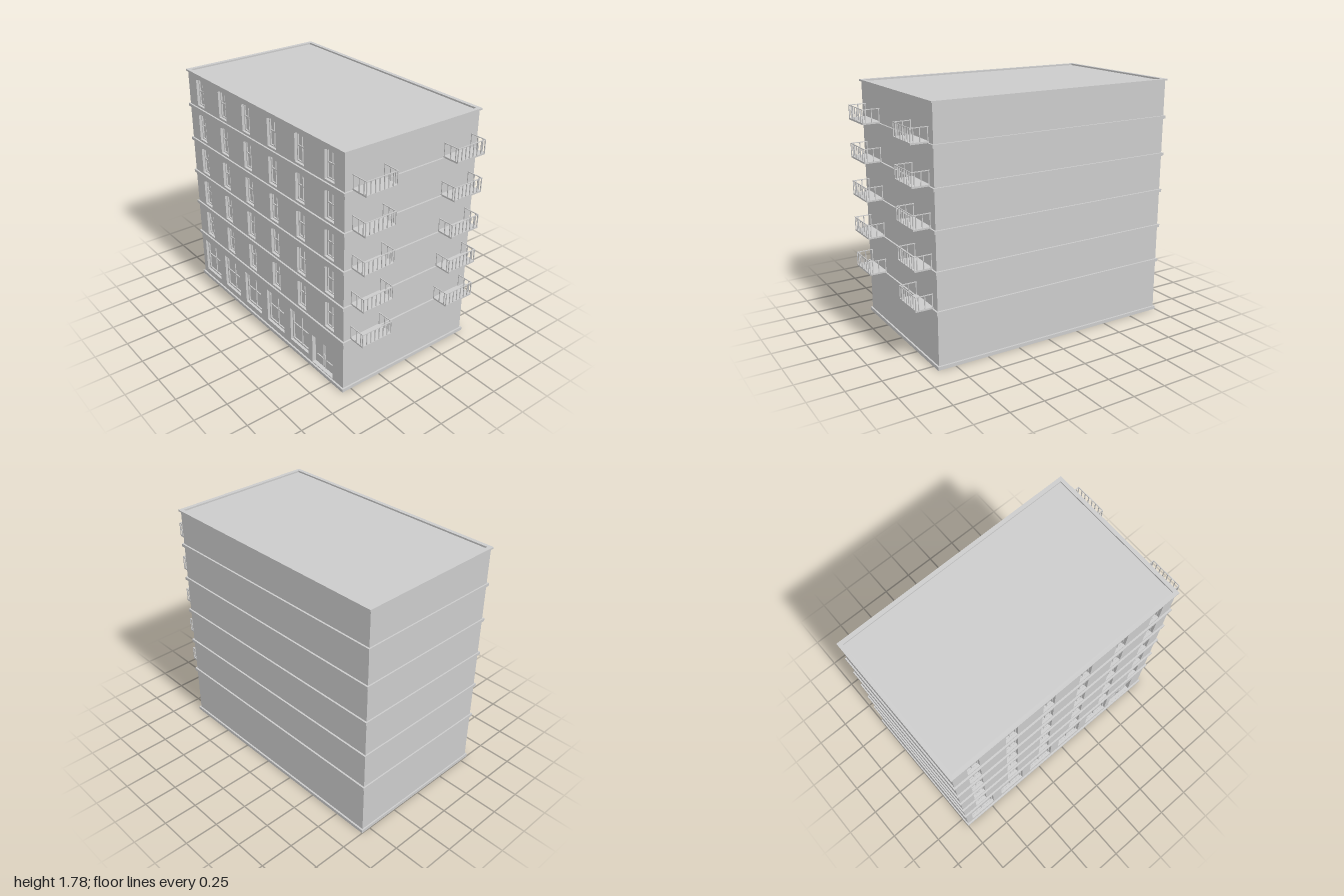
import * as THREE from 'three';

const X0 = -0.99, X1 = 0.87, ZW = 0.56, H = 1.785;   // wall planes and height
const CX = (X0 + X1) / 2, W = X1 - X0;
const FLOORS = [0.395, 0.67, 0.945, 1.222, 1.497];   // underside of each floor band
const BAND = 0.022, DEPTH = 0.03;

const mat = new THREE.MeshStandardMaterial({ color: 0xcccccc, side: THREE.DoubleSide, flatShading: true });

function add(parent, name, geo, x = 0, y = 0, z = 0) {
  const m = new THREE.Mesh(geo, mat);
  m.name = name;
  m.position.set(x, y, z);
  parent.add(m);
  return m;
}
const box = (parent, name, w, h, d, x, y, z) => add(parent, name, new THREE.BoxGeometry(w, h, d), x, y, z);

// Opening outline centred on x, standing on y0, with an optional arched head
function outline(Type, cx, y0, w, h, rise, inset = 0) {
  const l = cx - w / 2 + inset, r = cx + w / 2 - inset, b = y0 + inset, t = y0 + h - inset;
  const p = new Type();
  p.moveTo(l, b);
  p.lineTo(r, b);
  p.lineTo(r, t - rise);
  if (rise) p.quadraticCurveTo(cx, t + rise, l, t - rise);
  else p.lineTo(l, t);
  p.closePath();
  return p;
}

// Ring extruded between two insets of an opening
function ring(o, outer, inner, depth) {
  const s = outline(THREE.Shape, o.x, o.y, o.w, o.h, o.rise, outer);
  s.holes.push(outline(THREE.Path, o.x, o.y, o.w, o.h, o.rise, inner));
  return new THREE.ExtrudeGeometry(s, { depth, bevelEnabled: false, curveSegments: 6 });
}

// Rectangular ring running round the building
function band(parent, name, y, h) {
  const rect = (Type, x0, x1, z) => {
    const p = new Type();
    p.moveTo(x0, -z); p.lineTo(x1, -z); p.lineTo(x1, z); p.lineTo(x0, z); p.closePath();
    return p;
  };
  const s = rect(THREE.Shape, -1, 0.882, 0.573);
  s.holes.push(rect(THREE.Path, -0.97, 0.853, 0.543));
  const g = new THREE.ExtrudeGeometry(s, { depth: h, bevelEnabled: false });
  g.rotateX(-Math.PI / 2);
  add(parent, name, g, 0, y, 0);
}

// Recessed window or door filling
function opening(parent, o) {
  const g = new THREE.Group();
  g.name = o.name;
  const back = ZW - DEPTH;
  add(g, 'reveal', ring(o, 0, 0.004, DEPTH), 0, 0, back);
  add(g, 'pane', new THREE.ShapeGeometry(outline(THREE.Shape, o.x, o.y, o.w, o.h, o.rise, 0.002), 6), 0, 0, back);
  if (o.door) {
    // Two leaves, each with a low and a tall raised panel
    box(g, 'meetingStile', 0.006, o.h - 0.01, 0.006, o.x, o.y + o.h / 2, back + 0.003);
    for (const s of [-1, 1]) {
      box(g, 'lowerPanel', 0.075, 0.065, 0.008, o.x + s * 0.053, o.y + 0.05, back + 0.004);
      box(g, 'upperPanel', 0.075, 0.125, 0.008, o.x + s * 0.053, o.y + 0.16, back + 0.004);
      box(g, 'handle', 0.006, 0.03, 0.014, o.x + s * 0.009, o.y + 0.11, back + 0.007);
    }
  } else {
    add(g, 'sash', ring(o, 0.003, o.frame, 0.01), 0, 0, back);
    box(g, 'mullion', 0.008, o.h - 0.012, 0.008, o.x, o.y + o.h / 2, back + 0.004);
    box(g, 'transom', o.w - 0.012, 0.008, 0.008, o.x, o.y + o.h * 0.52, back + 0.004);
  }
  parent.add(g);
}

// Balcony: slab, balusters on three sides, thin handrail
function balcony(parent, y, side) {
  const g = new THREE.Group();
  g.name = 'balcony';
  const x0 = X1, x1 = 0.998, zc = side * 0.377, zl = 0.25, top = y + 0.103, t = 0.006;
  box(g, 'balconySlab', x1 - x0, 0.012, zl, (x0 + x1) / 2, y + 0.006, zc);
  const post = (x, z) => box(g, 'baluster', t, top - y - 0.01, t, x, (y + 0.01 + top) / 2, z);
  const zEdge = zl / 2 - t / 2, xo = x1 - t / 2;
  for (let i = 0; i < 8; i++) post(xo, zc - zEdge + (2 * zEdge * i) / 7);
  box(g, 'handrail', t, 0.005, zl, xo, top, zc);
  for (const s of [-1, 1]) {
    for (const x of [x0 + 0.006, 0.93, 0.975]) post(x, zc + s * zEdge);
    box(g, 'sideHandrail', x1 - x0, 0.005, t, (x0 + x1) / 2, top, zc + s * zEdge);
  }
  parent.add(g);
}

export function createModel() {
  const model = new THREE.Group();
  model.name = 'apartmentBlock';

  // All front openings: shop windows, door, and six arched windows per upper floor
  const openings = [];
  for (let i = 0; i < 5; i++)
    openings.push({ name: 'groundWindow', x: -0.83 + i * 0.3, y: 0.065, w: 0.225, h: 0.28, rise: 0, frame: 0.016 });
  openings.push({ name: 'entranceDoor', x: 0.64, y: 0.027, w: 0.24, h: 0.24, rise: 0, door: true });
  for (const y of FLOORS)
    for (let i = 0; i < 6; i++)
      openings.push({ name: 'upperWindow', x: -0.83 + i * 0.31, y: y + 0.034, w: 0.105, h: 0.215, rise: 0.014, frame: 0.011 });

  // Front wall pierced by the openings
  const front = new THREE.Shape();
  front.moveTo(X0, 0); front.lineTo(X1, 0); front.lineTo(X1, H - 0.005); front.lineTo(X0, H - 0.005); front.closePath();
  for (const o of openings) front.holes.push(outline(THREE.Path, o.x, o.y, o.w, o.h, o.rise));
  add(model, 'frontWall', new THREE.ShapeGeometry(front, 6), 0, 0, ZW);
  for (const o of openings) opening(model, o);

  // Plain back and side walls, open underneath
  const h = H - 0.005;
  add(model, 'backWall', new THREE.PlaneGeometry(W, h), CX, h / 2, -ZW).rotation.y = Math.PI;
  add(model, 'leftWall', new THREE.PlaneGeometry(2 * ZW, h), X1, h / 2, 0).rotation.y = Math.PI / 2;
  add(model, 'rightWall', new THREE.PlaneGeometry(2 * ZW, h), X0, h / 2, 0).rotation.y = -Math.PI / 2;
  add(model, 'roof', new THREE.PlaneGeometry(W, 2 * ZW), CX, H - 0.014, 0).rotation.x = -Math.PI / 2;

  // Plinth, floor bands and cornice
  band(model, 'plinth', 0, 0.025);
  for (const y of FLOORS) band(model, 'floorBand', y, BAND);
  band(model, 'cornice', H - 0.012, 0.012);

  // Two balconies per upper floor on the left side
  for (const y of FLOORS)
    for (const s of [-1, 1]) balcony(model, y + 0.02, s);

  return model;
}
